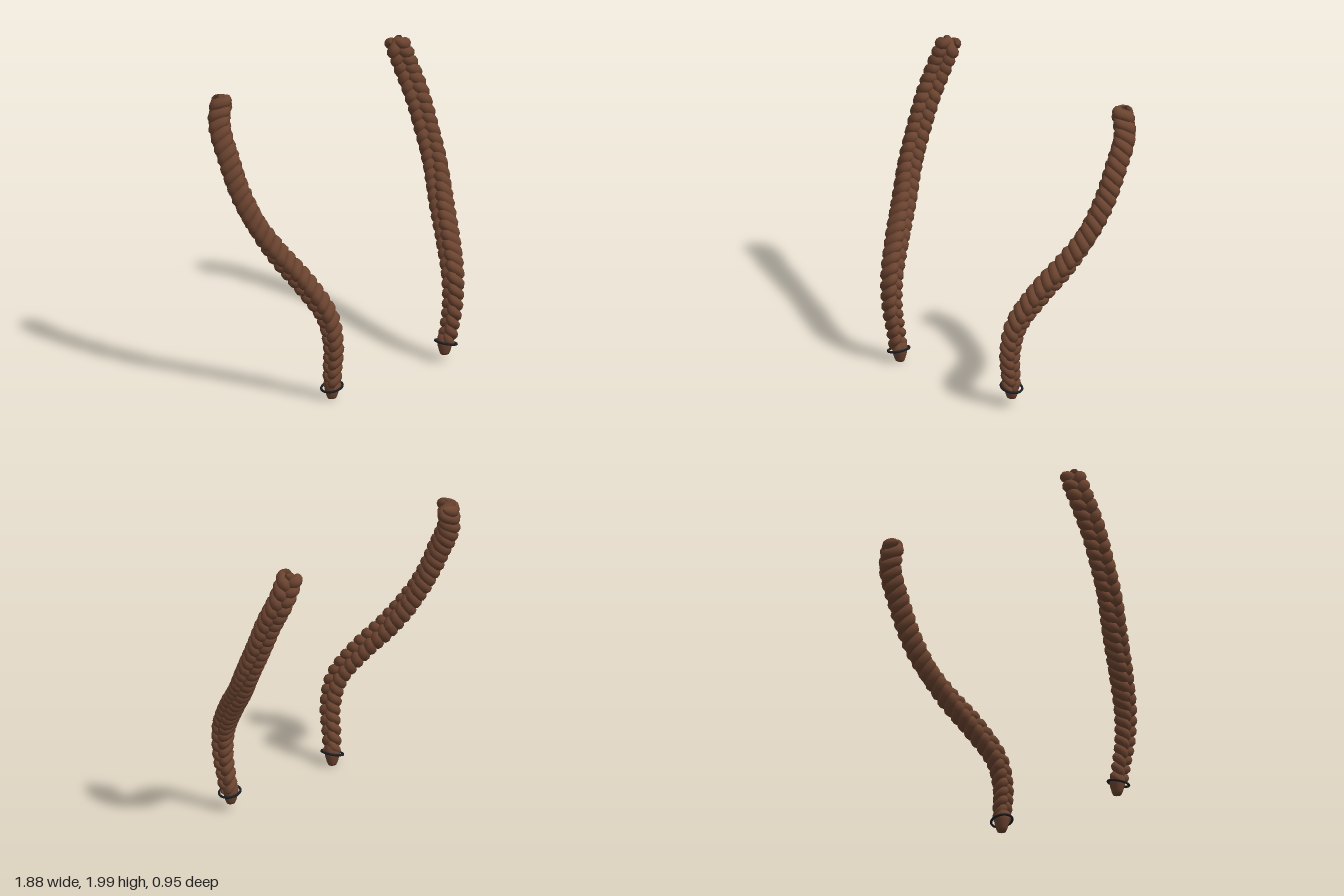
import * as THREE from 'three';

const hair = new THREE.MeshStandardMaterial({ color: 0x6c4430 });
hair.name = 'brown hair';
const elastic = new THREE.MeshStandardMaterial({ color: 0x1b1e23 });
elastic.name = 'black elastic';

// centre line of the left braid, from tip to crown
const spine = new THREE.CatmullRomCurve3([
  [0.505, 0.0, 0.36], [0.52, 0.2, 0.38], [0.535, 0.4, 0.405], [0.565, 0.6, 0.375],
  [0.64, 0.8, 0.25], [0.735, 1.0, 0.085], [0.81, 1.2, -0.05], [0.843, 1.4, -0.165],
  [0.85, 1.6, -0.26], [0.835, 1.8, -0.36], [0.775, 1.985, -0.395],
].map((p) => new THREE.Vector3(...p)));
spine.arcLengthDivisions = 600;
const LENGTH = spine.getLength();
const PERIOD = 0.205;   // length of one full weave

// braid grows thicker from the tip to the crown
const thickness = (u) => 0.8 + 0.3 * THREE.MathUtils.smoothstep(u, 0, 0.4)
  + 0.06 * THREE.MathUtils.smoothstep(u, 0.6, 0.9);

// one of three strands weaving around the centre line
class StrandCurve extends THREE.Curve {
  constructor(side, phase, start, end) {
    super();
    Object.assign(this, { side, phase, start, end });
    this.arcLengthDivisions = 1500;
  }
  getPoint(t, target = new THREE.Vector3()) {
    const u = this.start + t * (this.end - this.start);
    const tangent = spine.getTangentAt(u);
    // the flat face looks outward and turns backward near the crown
    const turn = 0.85 * THREE.MathUtils.smoothstep(u, 0.35, 0.7);
    const normal = new THREE.Vector3(Math.cos(turn), 0, -Math.sin(turn));
    normal.addScaledVector(tangent, -normal.dot(tangent)).normalize();
    const across = new THREE.Vector3().crossVectors(tangent, normal);
    const a = (u * LENGTH / PERIOD) * Math.PI * 2 + this.phase;
    const k = thickness(u);
    target.copy(spine.getPointAt(u))
      .addScaledVector(across, 0.041 * k * Math.sin(a))
      .addScaledVector(normal, 0.03 * k * Math.sin(2 * a));
    target.x *= this.side;
    return target;
  }
}

// tube whose rings swell with the braid and close at both ends
function strandGeometry(curve) {
  const rings = 330, sides = 10;
  const geo = new THREE.TubeGeometry(curve, rings, 0.035, sides, false);
  const pos = geo.attributes.position;
  const v = new THREE.Vector3();
  for (let i = 0; i <= rings; i++) {
    const t = i / rings;
    const centre = curve.getPointAt(t);
    const edge = Math.min(1, Math.min(i, rings - i) / 7);
    const k = thickness(curve.start + t * (curve.end - curve.start))
      * Math.sqrt(1 - (1 - edge) ** 2);
    for (let j = 0; j <= sides; j++) {
      const n = i * (sides + 1) + j;
      v.fromBufferAttribute(pos, n).sub(centre).multiplyScalar(k).add(centre);
      pos.setXYZ(n, v.x, v.y, v.z);
    }
  }
  return geo;
}

function makeBraid(side, name, lift) {
  const braid = new THREE.Group();
  braid.name = name;

  // woven strands
  for (let i = 0; i < 3; i++) {
    const curve = new StrandCurve(side, i * Math.PI * 2 / 3, (0.075 + lift) / LENGTH, 0.995);
    const strand = new THREE.Mesh(strandGeometry(curve), hair);
    strand.name = 'strand' + (i + 1);
    braid.add(strand);
  }

  // loose tip below the elastic
  const profile = [[0, 0], [0.03, 0.002], [0.039, 0.02], [0.052, 0.065], [0.056, 0.1], [0.045, 0.14], [0, 0.16]]
    .map((p) => new THREE.Vector2(...p));
  const tuft = new THREE.Mesh(new THREE.LatheGeometry(profile, 16), hair);
  tuft.name = 'tuft';
  tuft.scale.z = 0.85;
  tuft.position.set(side * 0.507, 0.008 + lift, 0.362);
  braid.add(tuft);

  // hair elastic, slightly tilted
  const tie = new THREE.Mesh(new THREE.TorusGeometry(0.071, 0.008, 8, 32), elastic);
  tie.name = 'hairTie';
  tie.rotation.set(Math.PI / 2, side * 0.25, 0);
  tie.rotation.order = 'ZYX';
  tie.rotation.set(Math.PI / 2, 0, -side * 0.25);
  tie.position.set(side * 0.512, 0.09 + lift, 0.367);
  braid.add(tie);
  return braid;
}

export function createModel() {
  const model = new THREE.Group();
  model.name = 'braids';
  model.add(makeBraid(1, 'leftBraid', 0.05), makeBraid(-1, 'rightBraid', 0));
  return model;
}
